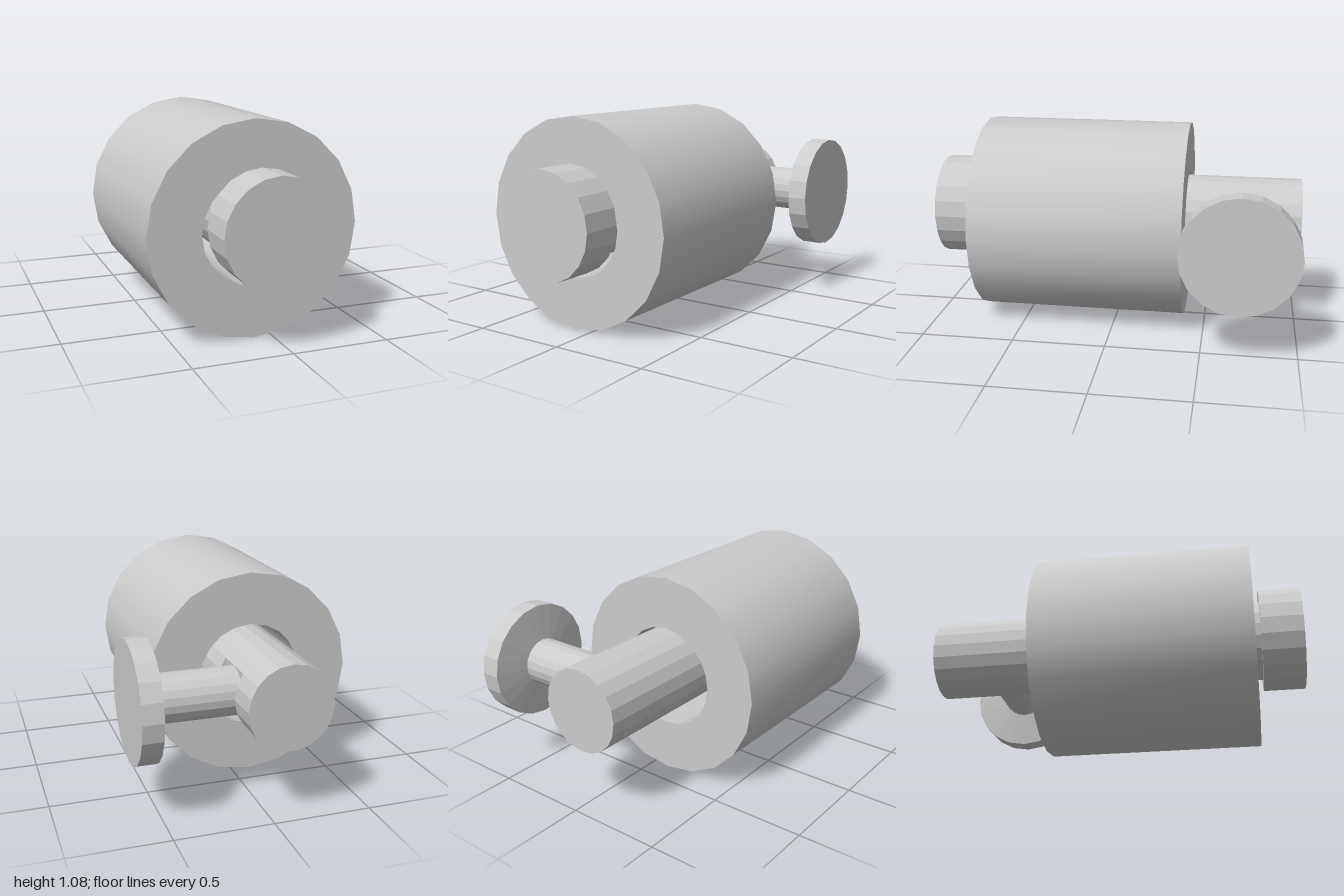
import * as THREE from 'three';
import { toCreasedNormals } from 'three/addons/utils/BufferGeometryUtils.js';

const SIDES = 20;
const AXIS = { x: -0.073, y: 0.578 };

export function createModel() {
  const group = new THREE.Group();
  const smooth = new THREE.MeshStandardMaterial({ color: 0xcccccc });
  const flat = new THREE.MeshStandardMaterial({ color: 0xcccccc, flatShading: true });

  const add = (name, geometry, material) => {
    const mesh = new THREE.Mesh(geometry, material);
    mesh.name = name;
    group.add(mesh);
    return mesh;
  };
  // Turned part from [radius, height] pairs, listed from bottom to top outside
  const turned = (points) =>
    new THREE.LatheGeometry(points.map(([r, h]) => new THREE.Vector2(r, h)), SIDES);

  // Hollow roll, its axis along z
  const rollGeometry = turned([[0.27, -0.385], [0.541, -0.385], [0.541, 0.745], [0.27, 0.745], [0.27, -0.385]]);
  rollGeometry.rotateX(Math.PI / 2);
  add('roll', toCreasedNormals(rollGeometry, Math.PI / 6), smooth).position.set(-0.092, 0.541, 0);

  // Rod sections along z; a limit on x planes off the side that receives the arm
  const rodSection = (name, radius, z0, z1, limit = radius) => {
    const outline = [];
    for (let i = 0; i < SIDES; i++) {
      const a = (i / SIDES) * Math.PI * 2;
      outline.push(new THREE.Vector2(Math.min(Math.cos(a) * radius, limit), Math.sin(a) * radius));
    }
    const geometry = new THREE.ExtrudeGeometry(new THREE.Shape(outline), { depth: z1 - z0, bevelEnabled: false });
    add(name, geometry, flat).position.set(AXIS.x, AXIS.y, z0);
  };
  rodSection('rodEnd', 0.214, -1, -0.81);
  rodSection('rodSeat', 0.214, -0.81, -0.56, 0.173);
  rodSection('rod', 0.214, -0.56, 0.78);
  rodSection('endCap', 0.275, 0.78, 1);

  // Side arm and its flange, turned about x
  const sideways = (name, points) => {
    const geometry = turned(points);
    geometry.rotateZ(-Math.PI / 2);
    add(name, geometry, flat).position.set(0, AXIS.y, -0.685);
  };
  sideways('sideArm', [[0, 0.1], [0.122, 0.1], [0.122, 0.51]]);
  sideways('sideFlange', [[0, 0.502], [0.122, 0.502], [0.305, 0.527], [0.305, 0.63], [0, 0.63]]);

  return group;
}
